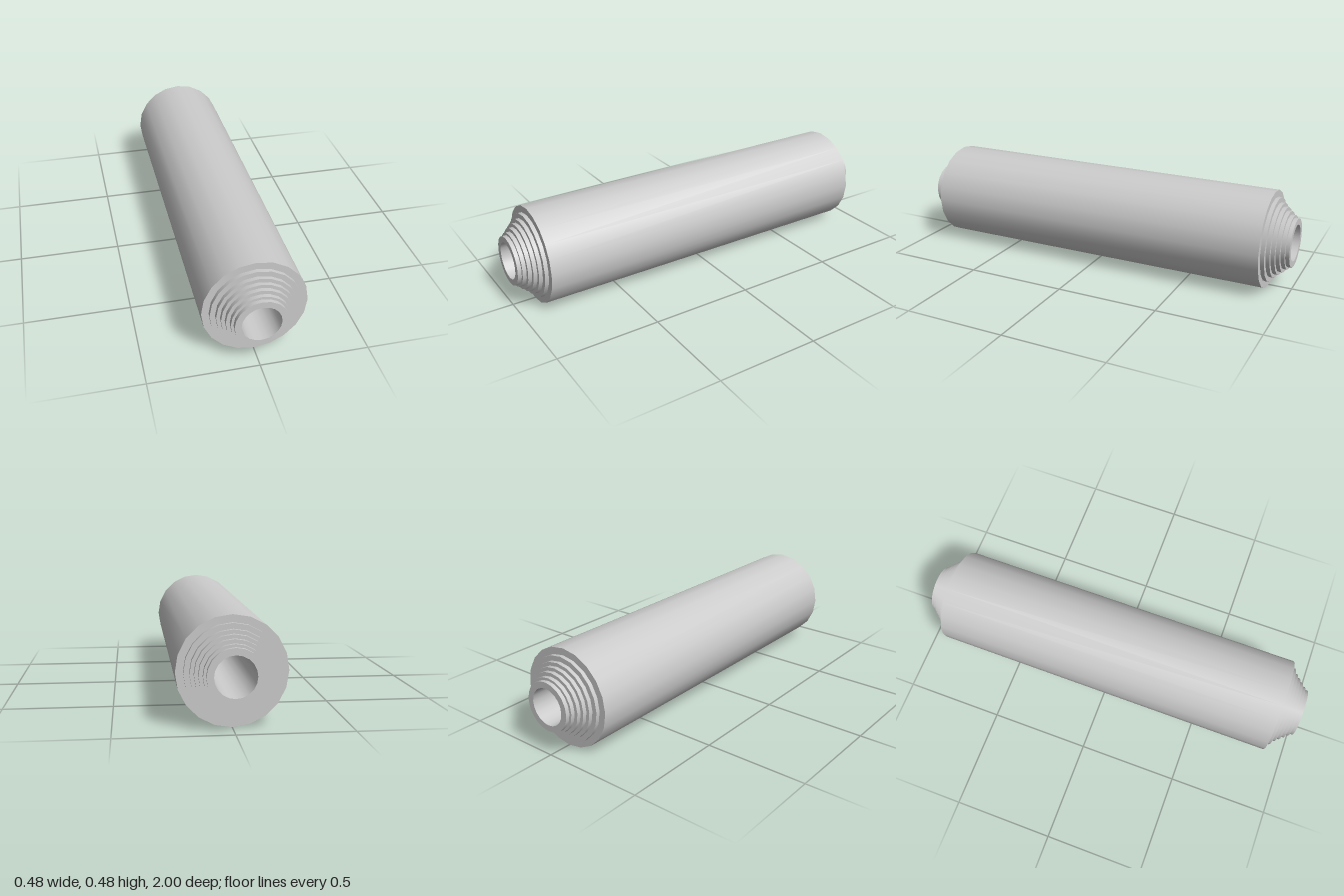
import * as THREE from 'three';
import { toCreasedNormals } from 'three/addons/utils/BufferGeometryUtils.js';

const SIDES = 20;
const AXIS_HEIGHT = 0.239;

// Closed tube along z, with smooth walls and sharp end rims
function tube(inner, outer, halfLength) {
  const profile = [
    [inner, -halfLength], [outer, -halfLength],
    [outer, halfLength], [inner, halfLength], [inner, -halfLength],
  ].map(([r, y]) => new THREE.Vector2(r, y));
  const geometry = new THREE.LatheGeometry(profile, SIDES);
  geometry.rotateX(Math.PI / 2);
  return toCreasedNormals(geometry, 0.6);
}

export function createModel() {
  const model = new THREE.Group();
  model.name = 'layeredTube';
  const material = new THREE.MeshStandardMaterial({ color: 0xcccccc });

  // Wall radii from the bore outwards; each layer is shorter than the one inside it
  const radii = [0.089, 0.119, 0.131, 0.148, 0.164, 0.181, 0.205, 0.238];
  const names = ['coreTube', 'innerLayer1', 'innerLayer2', 'innerLayer3',
    'innerLayer4', 'innerLayer5', 'outerSleeve'];
  const step = 0.0188;

  names.forEach((name, i) => {
    const mesh = new THREE.Mesh(tube(radii[i], radii[i + 1], 1 - i * step), material);
    mesh.name = name;
    mesh.position.y = AXIS_HEIGHT;
    model.add(mesh);
  });
  return model;
}
